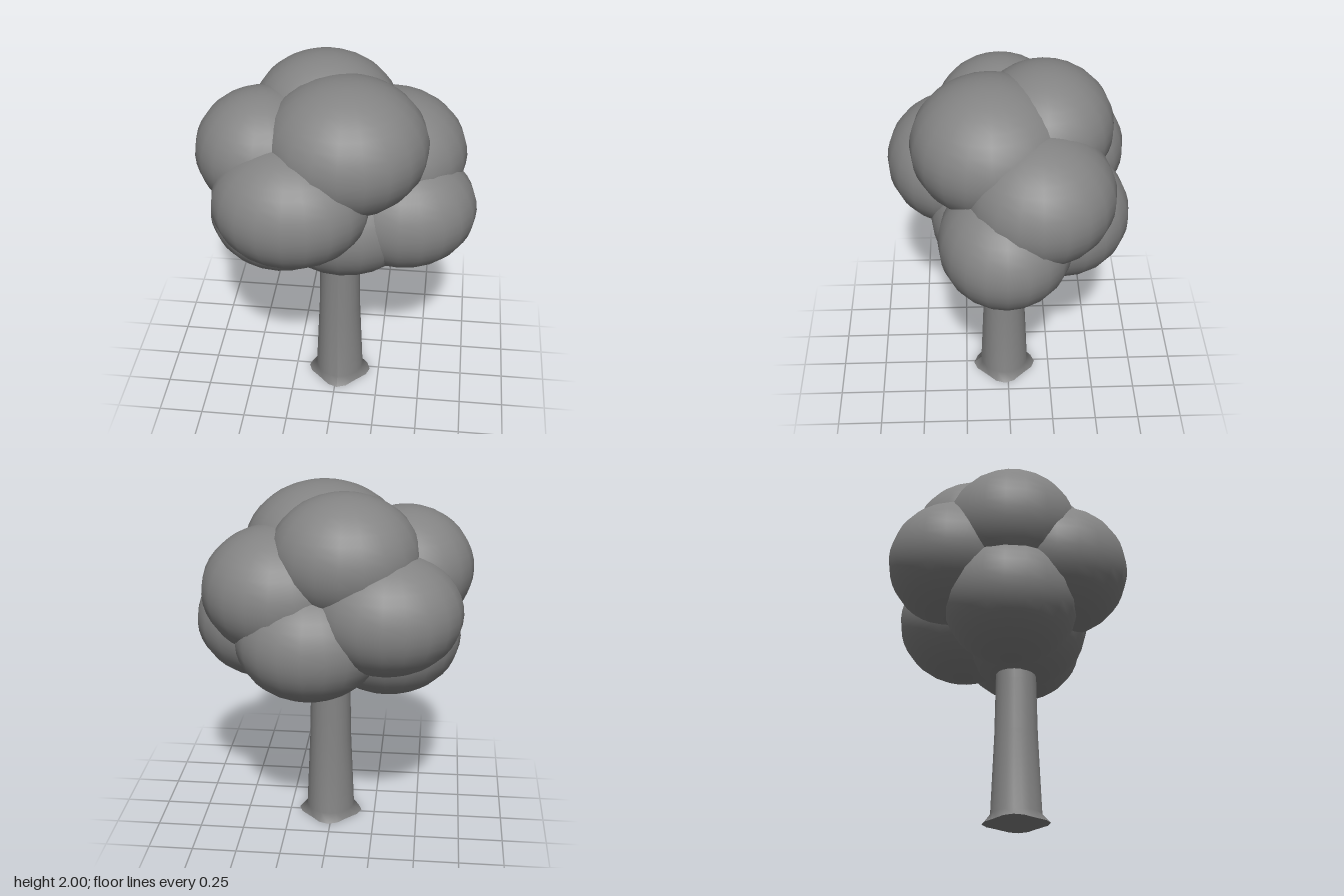
import * as THREE from 'three';

const material = new THREE.MeshStandardMaterial({ color: 0x848484 });

// Lathed surface whose ground ring is pushed in and out into four root bumps
function trunkSurface(name, points) {
  const profile = points.map(([r, y]) => new THREE.Vector2(r, y));
  const geometry = new THREE.LatheGeometry(profile, 20);
  const pos = geometry.attributes.position;
  for (let i = 0; i < pos.count; i++) {
    if (pos.getY(i) > 0.001) continue;
    const x = pos.getX(i), z = pos.getZ(i);
    const k = 1 + 0.1 * Math.cos(4 * Math.atan2(z, x));
    pos.setXYZ(i, x * k, 0, z * k);
  }
  geometry.computeVertexNormals();
  const mesh = new THREE.Mesh(geometry, material);
  mesh.name = name;
  return mesh;
}

// Overlapping leaf clumps: name, centre, radii
const clumps = [
  ['topFrontClump', [0.05, 1.625, 0.09], [0.445, 0.365, 0.43]],
  ['topBackClump', [-0.085, 1.66, -0.2], [0.405, 0.34, 0.375]],
  ['upperRightClump', [-0.4, 1.54, 0.03], [0.37, 0.34, 0.365]],
  ['frontClump', [-0.22, 1.375, 0.29], [0.425, 0.34, 0.372]],
  ['upperLeftClump', [0.275, 1.455, -0.16], [0.42, 0.355, 0.405]],
  ['lowerLeftClump', [0.36, 1.22, 0.02], [0.405, 0.335, 0.36]],
  ['lowerRightClump', [-0.31, 1.15, 0.02], [0.405, 0.338, 0.37]],
  ['lowerBackClump', [0.1, 1.225, -0.29], [0.4, 0.335, 0.37]],
  ['backRightClump', [-0.31, 1.39, -0.29], [0.41, 0.335, 0.372]],
  ['lowerCentreClump', [0.04, 1.175, 0.04], [0.425, 0.345, 0.385]],
];

export function createModel() {
  const tree = new THREE.Group();
  tree.name = 'tree';

  // Tapered trunk with a flared foot and a flat underside
  const trunk = new THREE.Group();
  trunk.name = 'trunk';
  trunk.add(
    trunkSurface('trunkBark', [[0.168, 0], [0.14, 0.045], [0.12, 0.5], [0.114, 0.8], [0.112, 1.1]]),
    trunkSurface('trunkUnderside', [[0, 0], [0.168, 0]]),
  );
  trunk.position.set(0.013, 0, 0.02);
  tree.add(trunk);

  // Rounded crown
  const crown = new THREE.Group();
  crown.name = 'crown';
  const ball = new THREE.SphereGeometry(1, 20, 20);
  for (const [name, centre, radii] of clumps) {
    const clump = new THREE.Mesh(ball, material);
    clump.name = name;
    clump.position.set(...centre);
    clump.scale.set(...radii);
    crown.add(clump);
  }
  tree.add(crown);

  return tree;
}
